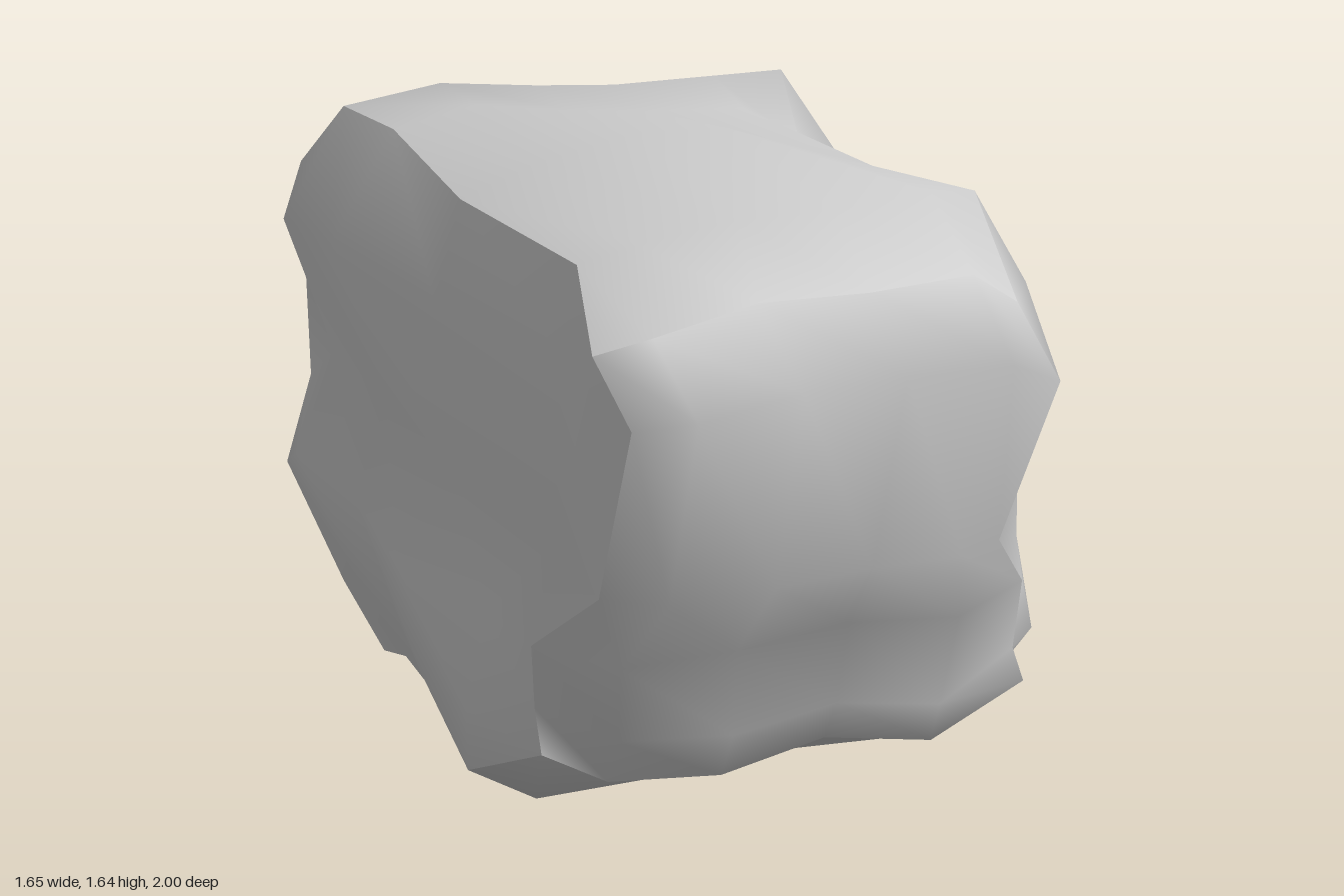
import * as THREE from 'three';
import { mergeGeometries } from 'three/addons/utils/BufferGeometryUtils.js';

const N = 5; // segments along every edge
const T = [0, 0.12, 0.37, 0.63, 0.88, 1]; // narrow cells next to the edges

// Corners: front/back, top/bottom, left (-x) / right (+x) as seen from the front
const FTL = [-0.64, 1.29, 0.78], FTR = [0.55, 1.3, 0.84];
const FBL = [-0.7, 0.17, 0.6], FBR = [0.67, 0.2, 0.62];
const BTL = [-0.66, 1.35, -0.94], BTR = [0.58, 1.28, -0.88];
const BBL = [-0.71, 0.2, -0.33], BBR = [0.68, 0.32, -0.56];

// The twelve worn edges of the block
const edges = {
  // running along x
  frontTop: [FTL, [-0.5, 1.34, 0.85], [-0.2, 1.4, 0.86], [0.1, 1.4, 0.9], [0.41, 1.4, 0.87], FTR],
  frontBottom: [FBL, [-0.52, 0.08, 0.62], [-0.2, 0.06, 0.63], [0.1, 0.12, 0.62], [0.41, 0.07, 0.61], FBR],
  backTop: [BTL, [-0.34, 1.38, -1], [-0.1, 1.4, -0.92], [0.1, 1.43, -0.9], [0.41, 1.38, -0.95], BTR],
  backBottom: [BBL, [-0.53, 0.14, -0.44], [-0.2, 0.33, -0.5], [0.1, 0.33, -0.58], [0.45, 0.33, -0.58], BBR],
  // running down
  frontLeft: [FTL, [-0.57, 1.1, 0.87], [-0.65, 0.65, 0.84], [-0.73, 0.47, 0.6], [-0.72, 0.3, 0.6], FBL],
  frontRight: [FTR, [0.63, 1.1, 0.93], [0.53, 0.64, 0.77], [0.655, 0.48, 0.645], [0.63, 0.3, 0.64], FBR],
  backLeft: [BTL, [-0.655, 1.09, -0.925], [-0.7, 0.82, -0.795], [-0.78, 0.6, -0.77], [-0.75, 0.35, -0.49], BBL],
  backRight: [BTR, [0.62, 1.06, -0.92], [0.72, 0.72, -0.88], [0.68, 0.6, -0.77], [0.64, 0.44, -0.71], BBR],
  // running from front to back
  topLeft: [FTL, [-0.58, 1.47, 0.56], [-0.63, 1.49, -0.04], [-0.59, 1.54, -0.53], [-0.59, 1.52, -0.83], BTL],
  topRight: [FTR, [0.55, 1.53, 0.58], [0.48, 1.48, 0.15], [0.43, 1.45, -0.22], [0.53, 1.55, -0.55], BTR],
  bottomLeft: [FBL, [-0.83, 0.1, 0.43], [-0.73, 0.11, 0.2], [-0.71, 0.16, 0], [-0.71, 0.22, -0.2], BBL],
  bottomRight: [FBR, [0.645, 0.14, 0.44], [0.7, 0.15, 0.2], [0.75, 0.27, -0.22], [0.75, 0.35, -0.45], BBR],
};
const rev = (edge) => [...edge].reverse();

// One face: a patch stretched between four edges (seen from outside), its
// inner 4 x 4 points pushed to the given depths along the face's axis
function face(top, bottom, left, right, axis, depths) {
  const positions = [], index = [];
  for (let j = 0; j <= N; j++) {
    for (let i = 0; i <= N; i++) {
      const u = T[i], v = T[j];
      const p = [0, 1, 2].map((k) =>
        (1 - v) * top[i][k] + v * bottom[i][k] + (1 - u) * left[j][k] + u * right[j][k]
        - (1 - u) * (1 - v) * top[0][k] - u * (1 - v) * top[N][k]
        - (1 - u) * v * bottom[0][k] - u * v * bottom[N][k]);
      if (i > 0 && i < N && j > 0 && j < N) p[axis] = depths[j - 1][i - 1];
      positions.push(...p);
      if (i < N && j < N) {
        const a = j * (N + 1) + i, b = a + N + 1;
        index.push(a, b, b + 1, a, b + 1, a + 1);
      }
    }
  }
  const geometry = new THREE.BufferGeometry();
  geometry.setAttribute('position', new THREE.Float32BufferAttribute(positions, 3));
  geometry.setIndex(index);
  geometry.computeVertexNormals(); // smooth inside a face, sharp between faces
  return geometry;
}

export function createModel() {
  const e = edges;
  const faces = [
    // front
    face(e.frontTop, e.frontBottom, e.frontLeft, e.frontRight, 2, [
      [0.975, 0.98, 0.98, 0.975], [0.96, 1, 0.99, 0.92],
      [0.77, 0.77, 0.77, 0.74], [0.74, 0.76, 0.75, 0.72]]),
    // back
    face(rev(e.backTop), rev(e.backBottom), e.backRight, e.backLeft, 2, [
      [-0.96, -0.97, -0.98, -0.96], [-0.88, -0.88, -0.88, -0.84],
      [-0.82, -0.86, -0.85, -0.8], [-0.73, -0.73, -0.68, -0.56]]),
    // +x side
    face(e.topRight, e.bottomRight, e.frontRight, e.backRight, 0, [
      [0.66, 0.66, 0.69, 0.7], [0.7, 0.68, 0.72, 0.72],
      [0.74, 0.7, 0.82, 0.81], [0.78, 0.74, 0.8, 0.74]]),
    // -x side
    face(rev(e.topLeft), rev(e.bottomLeft), e.backLeft, e.frontLeft, 0, [
      [-0.78, -0.8, -0.74, -0.66], [-0.7, -0.7, -0.7, -0.67],
      [-0.82, -0.78, -0.83, -0.76], [-0.77, -0.76, -0.82, -0.83]]),
    // top
    face(e.backTop, e.frontTop, rev(e.topLeft), rev(e.topRight), 1, [
      [1.54, 1.54, 1.54, 1.53], [1.58, 1.57, 1.57, 1.55],
      [1.57, 1.64, 1.64, 1.53], [1.52, 1.55, 1.55, 1.55]]),
    // underside
    face(e.frontBottom, e.backBottom, e.bottomLeft, e.bottomRight, 1, [
      [0, 0.015, 0.04, 0.03], [0.06, 0.05, 0.05, 0.07],
      [0.06, 0.1, 0.14, 0.18], [0.13, 0.22, 0.25, 0.28]]),
  ];
  const rock = new THREE.Mesh(
    mergeGeometries(faces),
    new THREE.MeshStandardMaterial({ color: 0xcccccc }),
  );
  rock.name = 'rock';
  const model = new THREE.Group();
  model.name = 'boulder';
  model.add(rock);
  return model;
}
